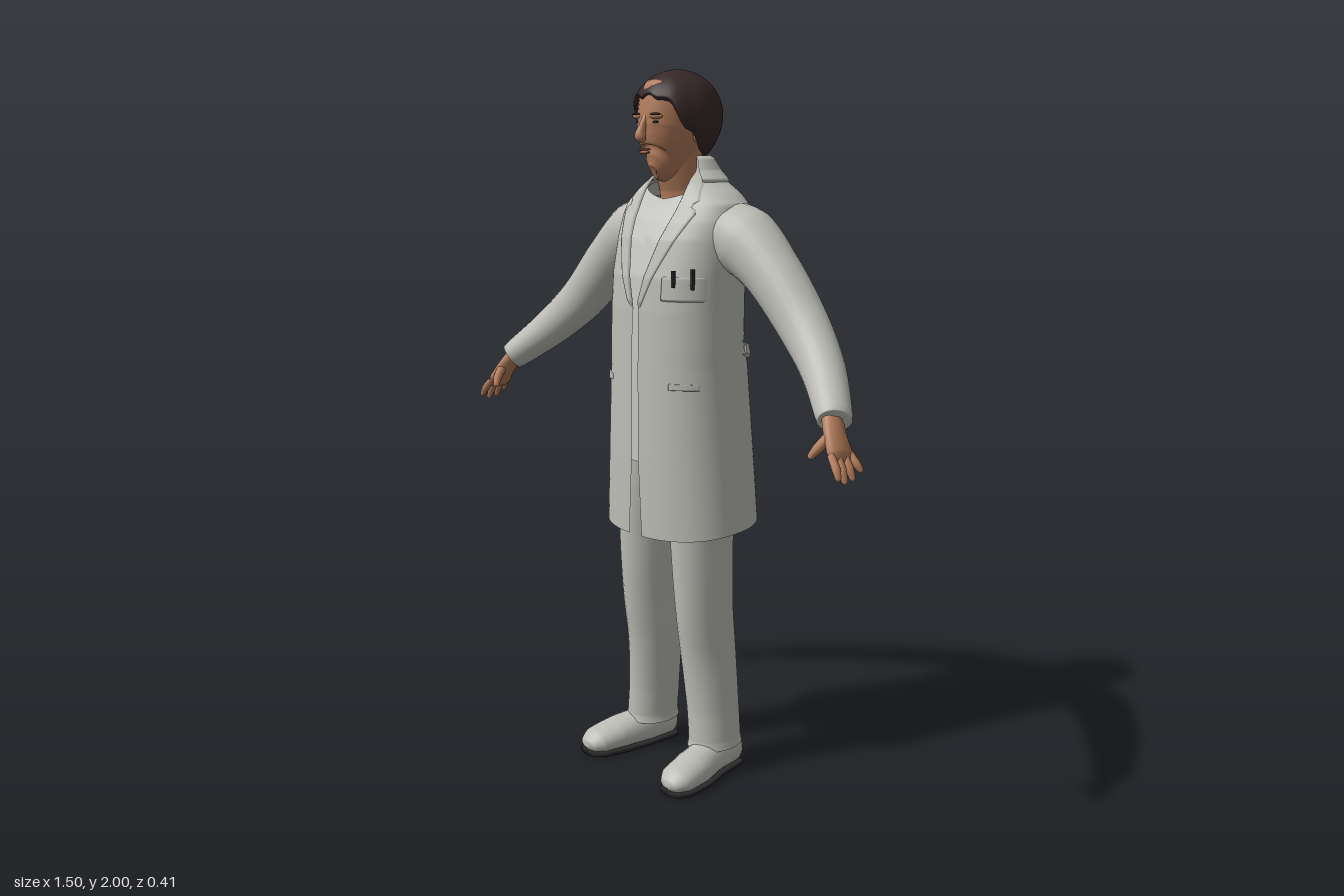
import * as THREE from 'three';
import { ParametricGeometry } from 'three/addons/geometries/ParametricGeometry.js';

const { lerp, clamp } = THREE.MathUtils;
const mat = (name, color) =>
  new THREE.MeshStandardMaterial({ name, color, side: THREE.DoubleSide });

// Linear lookup in a table whose first column is the key
function look(rows, k) {
  let i = 0;
  while (i < rows.length - 2 && k > rows[i + 1][0]) i++;
  const a = rows[i], b = rows[i + 1];
  const t = clamp((k - a[0]) / (b[0] - a[0]), 0, 1);
  return a.map((n, j) => lerp(n, b[j], t));
}

// Coat silhouette: height, half width, front z, back z, half opening
const COAT = [
  [0.72, 0.235, 0.16, -0.2, 0.026], [0.95, 0.22, 0.16, -0.188, 0.013],
  [1.2, 0.205, 0.158, -0.172, 0.012], [1.25, 0.203, 0.157, -0.157, 0.012],
  [1.36, 0.2, 0.155, -0.16, 0.012], [1.45, 0.2, 0.148, -0.16, 0.035],
  [1.55, 0.205, 0.12, -0.16, 0.062], [1.6, 0.21, 0.095, -0.157, 0.075],
  [1.64, 0.21, 0.07, -0.15, 0.082], [1.67, 0.175, 0.055, -0.143, 0.084],
  [1.7, 0.125, 0.04, -0.128, 0.082], [1.73, 0.092, 0.02, -0.11, 0.075],
  [1.77, 0.07, 0, -0.085, 0.06],
];
const POW = 2.3;
const bend = (n) => Math.sign(n) * Math.abs(n) ** (2 / POW);

// Point on the torso at a height and an angle measured from the front
function torso(y, angle, off, target) {
  const [, w, zf, zb] = look(COAT, y);
  target.set((w + off) * bend(Math.sin(angle)), y,
    (zf + zb) / 2 + ((zf - zb) / 2 + off) * bend(Math.cos(angle)));
}
function frontZ(x, y) {
  const [, w, zf, zb] = look(COAT, y);
  const k = Math.max(0, 1 - (Math.abs(x) / w) ** POW);
  return (zf + zb) / 2 + ((zf - zb) / 2) * k ** (1 / POW);
}

export function createModel() {
  const model = new THREE.Group();
  model.name = 'manInCoat';
  const cloth = mat('offWhiteCloth', 0xbdbdb6);
  const shirtMat = mat('shirtWhite', 0xc6c6c3);
  const skin = mat('skin', 0xb27b5a);
  const lipMat = mat('lips', 0x99604a);
  const hairMat = mat('darkBrownHair', 0x382828);
  const dark = mat('blackRubber', 0x2a2a2a);

  // Parametric surface; s = -1 mirrors it to the right side
  function surface(name, material, nu, nv, fn, s = 1) {
    const geo = new ParametricGeometry((u, v, p) => {
      fn(s < 0 ? 1 - u : u, v, p);
      p.x *= s;
    }, nu, nv);
    const mesh = new THREE.Mesh(geo, material);
    mesh.name = name;
    model.add(mesh);
    return mesh;
  }

  // Elliptical tube through rows of x, y, z, radius across, radius along ref
  function sweep(name, material, rows, { s = 1, ref = [0, 0, 1], nu = 24, step = 5, yMin = -9, yMax = 9 } = {}) {
    const curve = new THREE.CatmullRomCurve3(rows.map((r) => new THREE.Vector3(r[0], r[1], r[2])));
    const up = new THREE.Vector3(...ref);
    const radii = rows.map((r, i) => [i / (rows.length - 1), r[3], r[4]]);
    const n = new THREE.Vector3(), b = new THREE.Vector3();
    return surface(name, material, nu, (rows.length - 1) * step, (u, v, p) => {
      const t = curve.getTangent(v);
      const [, ra, rb] = look(radii, v);
      n.crossVectors(t, up).normalize();
      b.crossVectors(n, t);
      const a = u * Math.PI * 2;
      p.copy(curve.getPoint(v)).addScaledVector(n, ra * Math.cos(a)).addScaledVector(b, -rb * Math.sin(a));
      p.y = clamp(p.y, yMin, yMax);
    }, s);
  }

  // Thin raised piece lying on the coat front
  function patch(name, material, y0, y1, left, right, off, s = 1, nv = 16) {
    surface(name, material, 16, nv, (u, v, p) => {
      const y = lerp(y0, y1, v), x = lerp(left(y), right(y), u);
      const rim = Math.min(1, 16 * Math.min(u, 1 - u, v, 1 - v));
      p.set(x, y, frontZ(x, y) + lerp(-0.002, off, rim));
    }, s);
  }

  function ellipsoid(name, material, pos, size) {
    const m = new THREE.Mesh(new THREE.SphereGeometry(1, 16, 12), material);
    m.name = name;
    m.position.set(...pos);
    m.scale.set(...size);
    model.add(m);
  }

  // Coat shell, open down the front, hem rising toward the back
  surface('coat', cloth, 72, 70, (u, v, p) => {
    const y = lerp(0.72, 1.77, v);
    const [, w, , , gap] = look(COAT, y);
    const start = Math.asin((gap / w) ** (POW / 2));
    const a = lerp(start, Math.PI * 2 - start, u);
    torso(y, a, 0, p);
    p.y += 0.02 * (1 - Math.cos(a)) * clamp((1.2 - y) / 0.48, 0, 1);
  });
  // Half belt across the back
  surface('backBelt', cloth, 40, 16, (u, v, p) => {
    const a = Math.PI + (u - 0.5) * 2.4;
    torso(1.195 + 0.04 * v + 0.06 * (1 - Math.cos(a - Math.PI)), a, 0.014 * Math.min(1, 8 * Math.min(v, 1 - v)), p);
  });
  // Turned collar around the neck
  surface('collar', cloth, 40, 12, (u, v, p) => {
    torso(lerp(1.7, 1.772, v), lerp(1.0, Math.PI * 2 - 1.0, u), 0.009 * Math.min(1, 10 * Math.min(v, 1 - v)), p);
  });
  // Shirt with a round neckline
  surface('shirt', shirtMat, 48, 40, (u, v, p) => {
    const a = u * Math.PI * 2;
    torso(lerp(0.93, 1.655 + 0.04 * Math.abs(Math.sin(a)), v), a, -0.013, p);
  });

  const LAPEL = [[1.36, 0.016], [1.625, 0.142], [1.64, 0.115], [1.655, 0.135], [1.7, 0.112], [1.73, 0.085]];
  for (const s of [1, -1]) {
    const side = s > 0 ? 'left' : 'right';
    patch(side + 'Lapel', cloth, 1.36, 1.73, (y) => look(COAT, y)[4] - 0.002, (y) => look(LAPEL, y)[1], 0.009, s, 40);
    patch(side + 'PocketWelt', cloth, 1.148, 1.166, () => 0.115, () => 0.185, 0.006, s);

    // Sleeve and hand
    sweep(side + 'Sleeve', cloth, [
      [0.12, 1.575, -0.05, 0.085, 0.095], [0.22, 1.545, -0.05, 0.095, 0.094],
      [0.32, 1.475, -0.045, 0.08, 0.078], [0.46, 1.335, -0.03, 0.07, 0.066],
      [0.56, 1.242, 0.01, 0.058, 0.058], [0.668, 1.143, 0.088, 0.041, 0.046],
      [0.67, 1.141, 0.09, 0.02, 0.02],
    ], { s });
    sweep(side + 'Palm', skin, [
      [0.65, 1.16, 0.08, 0.024, 0.028], [0.68, 1.115, 0.1, 0.021, 0.034],
      [0.705, 1.075, 0.11, 0.018, 0.041], [0.716, 1.05, 0.113, 0.009, 0.034],
      [0.718, 1.046, 0.113, 0.001, 0.002],
    ], { s, nu: 16 });
    [[0.143, 0.155, 1.012], [0.122, 0.13, 1.0], [0.099, 0.102, 1.004], [0.079, 0.073, 1.02]].forEach(([z0, z1, y], i) =>
      sweep(side + 'Finger' + (i + 1), skin, [
        [0.707, 1.07, z0, 0.01, 0.01], [0.731, lerp(1.07, y, 0.5), (z0 + z1) / 2 + 0.002, 0.011, 0.011],
        [0.742, y + 0.008, z1, 0.008, 0.008], [0.743, y, z1, 0.001, 0.001],
      ], { s, nu: 10, step: 3 }));
    sweep(side + 'Thumb', skin, [
      [0.682, 1.115, 0.115, 0.014, 0.014], [0.668, 1.082, 0.148, 0.013, 0.013],
      [0.657, 1.06, 0.162, 0.009, 0.009], [0.655, 1.055, 0.164, 0.001, 0.001],
    ], { s, nu: 10, step: 3 });

    // Trouser leg with a flared cuff
    sweep(side + 'TrouserLeg', cloth, [
      [0.09, 1.05, -0.01, 0.1, 0.115], [0.1, 0.93, 0, 0.1, 0.11], [0.11, 0.72, 0.005, 0.08, 0.1],
      [0.115, 0.5, -0.002, 0.071, 0.093], [0.117, 0.35, -0.018, 0.069, 0.089],
      [0.128, 0.2, -0.025, 0.068, 0.083], [0.136, 0.105, -0.025, 0.069, 0.082],
      [0.137, 0.08, -0.025, 0.073, 0.087], [0.137, 0.076, -0.025, 0.04, 0.05],
    ], { s });

    // Shoe, slightly turned out, on a flat sole
    const shoe = [
      [0.137, 0.045, -0.107, 0.006, 0.012], [0.138, 0.048, -0.093, 0.044, 0.048],
      [0.147, 0.05, 0, 0.052, 0.056], [0.166, 0.042, 0.09, 0.06, 0.05],
      [0.178, 0.034, 0.165, 0.055, 0.038], [0.18, 0.026, 0.195, 0.034, 0.022], [0.18, 0.022, 0.205, 0.003, 0.003],
    ];
    sweep(side + 'Shoe', cloth, shoe, { s, ref: [0, 1, 0], yMin: 0.012 });
    sweep(side + 'Sole', dark, shoe.map(([x, , z, r]) => [x, 0.007, z, r * 1.03, 0.04]),
      { s, ref: [0, 1, 0], yMin: 0, yMax: 0.014 });

    // Eyes, brows and ears
    ellipsoid(side + 'Eye', dark, [s * 0.033, 1.861, 0.108], [0.011, 0.004, 0.008]);
    ellipsoid(side + 'BrowRidge', skin, [s * 0.034, 1.876, 0.108], [0.024, 0.008, 0.013]);
    ellipsoid(side + 'Eyebrow', hairMat, [s * 0.036, 1.881, 0.112], [0.02, 0.004, 0.009]);
    ellipsoid(side + 'Ear', skin, [s * 0.084, 1.835, 0], [0.012, 0.032, 0.018]);
  }

  // Breast pocket and pens
  patch('breastPocket', cloth, 1.388, 1.455, () => 0.088, () => 0.188, 0.007);
  for (const [x, h] of [[0.127, 0.045], [0.168, 0.055]]) {
    const pen = new THREE.Mesh(new THREE.BoxGeometry(0.009, h, 0.008), dark);
    pen.name = 'pen';
    pen.position.set(x, 1.45, frontZ(x, 1.45) + 0.009);
    model.add(pen);
  }

  // Neck, head and face
  sweep('neck', skin, [
    [0, 1.6, -0.03, 0.075, 0.065], [0, 1.68, -0.02, 0.064, 0.062], [0, 1.73, -0.01, 0.062, 0.068], [0, 1.8, 0, 0.06, 0.07],
  ]);
  sweep('head', skin, [
    [0, 1.728, 0.085, 0.012, 0.02], [0, 1.738, 0.07, 0.036, 0.048], [0, 1.76, 0.045, 0.056, 0.078],
    [0, 1.8, 0.03, 0.071, 0.095], [0, 1.84, 0.022, 0.08, 0.102], [0, 1.88, 0.018, 0.083, 0.102],
    [0, 1.92, 0.01, 0.082, 0.103], [0, 1.96, 0, 0.068, 0.083], [0, 1.985, 0, 0.02, 0.02],
  ], { nu: 32 });
  sweep('nose', skin, [
    [0, 1.876, 0.114, 0.009, 0.008], [0, 1.847, 0.126, 0.01, 0.012],
    [0, 1.824, 0.134, 0.016, 0.016], [0, 1.813, 0.126, 0.012, 0.01], [0, 1.81, 0.122, 0.001, 0.001],
  ], { nu: 16, step: 4 });
  ellipsoid('upperLip', lipMat, [0, 1.789, 0.119], [0.024, 0.004, 0.01]);
  ellipsoid('lowerLip', lipMat, [0, 1.781, 0.118], [0.02, 0.005, 0.01]);

  // Hair cap; the lower edge depends on the angle from the front
  const EDGE = [[0, 1.925], [0.5, 1.922], [0.8, 1.9], [1.1, 1.845], [1.4, 1.815], [1.8, 1.775], [2.3, 1.762], [3.2, 1.76]];
  surface('hair', hairMat, 64, 32, (u, v, p) => {
    const a = u * Math.PI * 2;
    const low = look(EDGE, Math.min(a, Math.PI * 2 - a))[1] + 0.006 * Math.sin(11 * a);
    const y = lerp(low, 2, Math.sin(v * Math.PI / 2)), k = (y - 1.88) / 0.12;
    let r = k > 0 ? Math.sqrt(Math.max(0, 1 - k * k)) + 0.004 : 1.004 - 0.42 * k * k;
    r *= (0.92 + 0.08 * Math.min(1, v * 16)) * (1 + 0.012 * Math.sin(9 * a) * (1 - v));
    p.set(0.114 * r * Math.sin(a), y, -0.002 + 0.132 * r * Math.cos(a));
  });

  return model;
}
